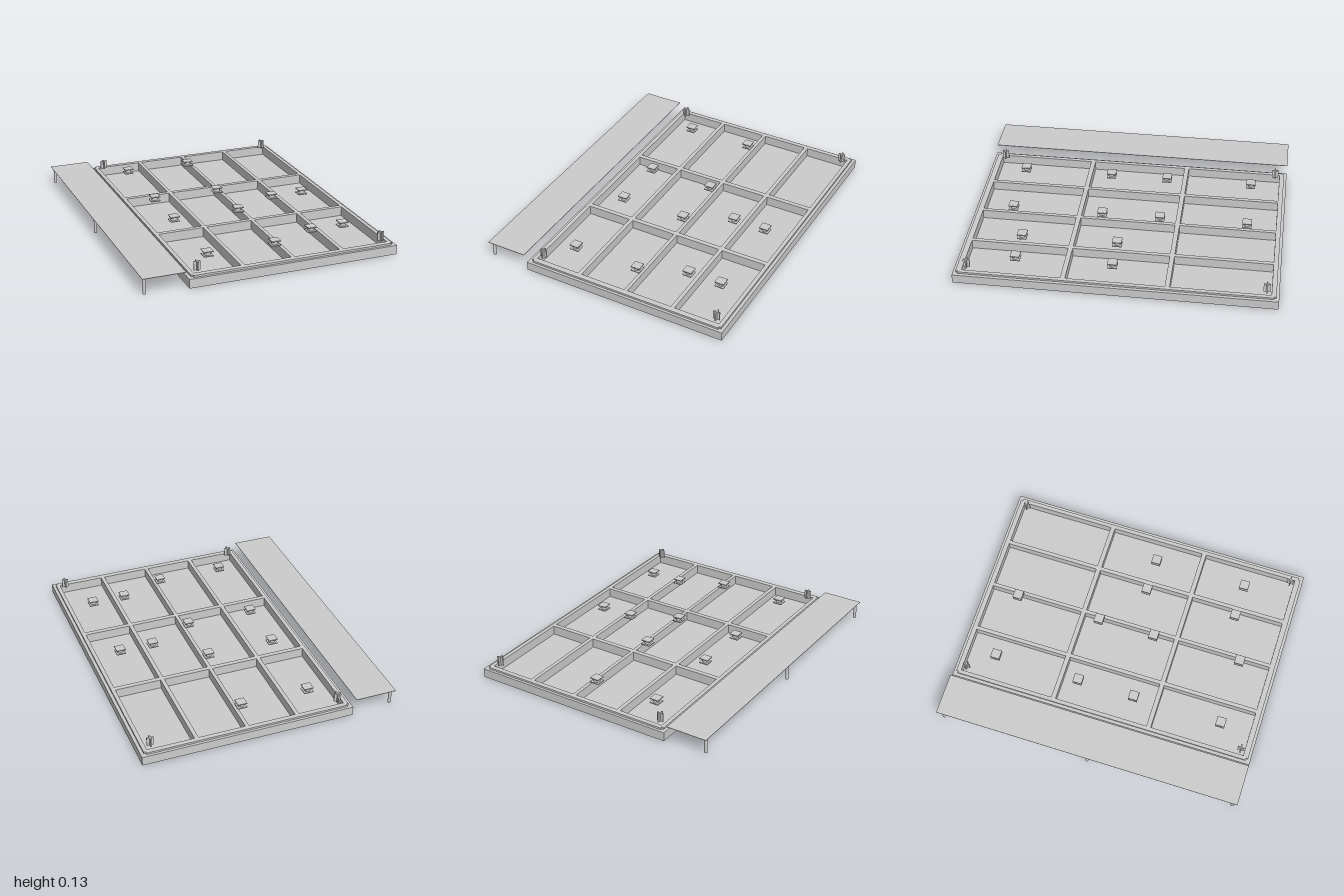
import * as THREE from 'three';

const material = new THREE.MeshStandardMaterial({ color: 0xcccccc, flatShading: true, side: THREE.DoubleSide });

// Cell edges of the ribbed tray
const cellsX = [[-0.49, -0.195], [-0.17, 0.13], [0.153, 0.45], [0.475, 0.77]];
const cellsZ = [[-0.953, -0.338], [-0.308, 0.304], [0.334, 0.948]];
const trayX = 0.14;

function add(parent, name, geometry, x = 0, y = 0, z = 0) {
  const mesh = new THREE.Mesh(geometry, material);
  mesh.name = name;
  mesh.position.set(x, y, z);
  parent.add(mesh);
  return mesh;
}

function box(parent, name, w, h, d, x, y, z) {
  return add(parent, name, new THREE.BoxGeometry(w, h, d), x, y, z);
}

// Rectangle with square notches cut from its corners, pierced by the cells
function gridLayer(halfW, halfD, notch, height) {
  const w = halfW, d = halfD, n = notch;
  const outline = [];
  if (n > 0) {
    for (const [a, b, first] of [[1, 1, 0], [-1, 1, 1], [-1, -1, 0], [1, -1, 1]]) {
      const side = [a * w, b * (d - n)], inner = [a * (w - n), b * (d - n)], end = [a * (w - n), b * d];
      outline.push(...(first ? [end, inner, side] : [side, inner, end]));
    }
  } else {
    outline.push([w, d], [-w, d], [-w, -d], [w, -d]);
  }
  const shape = new THREE.Shape(outline.map(([x, y]) => new THREE.Vector2(x + trayX, y)));
  for (const [x0, x1] of cellsX) {
    for (const [z0, z1] of cellsZ) {
      // shape y becomes -z after the rotation
      shape.holes.push(new THREE.Path([
        new THREE.Vector2(x0, -z0), new THREE.Vector2(x1, -z0),
        new THREE.Vector2(x1, -z1), new THREE.Vector2(x0, -z1)]));
    }
  }
  return new THREE.ExtrudeGeometry(shape, { depth: height, bevelEnabled: false }).rotateX(-Math.PI / 2);
}

export function createModel() {
  const model = new THREE.Group();
  model.name = 'ribbedTrayWithShelf';

  // Tray: floor, stepped rim and ribs
  const tray = new THREE.Group();
  tray.name = 'tray';
  model.add(tray);
  box(tray, 'trayFloor', 1.35, 0.01, 2, trayX, 0.005, 0);
  add(tray, 'trayBody', gridLayer(0.675, 1, 0, 0.048), 0, 0.01, 0);
  add(tray, 'raisedFrame', gridLayer(0.655, 0.983, 0.013, 0.012), 0, 0.058, 0);

  // Square-ended spools hovering over the cells
  const spools = [];
  for (const x of [-0.33, 0.108]) for (const z of [-0.767, -0.206, 0.169, 0.752]) spools.push([x, z]);
  for (const x of [0.404, 0.623]) for (const z of [0.031, 0.638]) spools.push([x, z]);
  for (const [x, z] of spools) {
    const spool = new THREE.Group();
    spool.name = 'spool';
    spool.position.set(x, 0, z);
    model.add(spool);
    box(spool, 'spoolBottomPlate', 0.06, 0.006, 0.06, 0, 0.079, 0);
    box(spool, 'spoolTopPlate', 0.06, 0.006, 0.06, 0, 0.107, 0);
    add(spool, 'spoolStem', new THREE.CylinderGeometry(0.021, 0.021, 0.022, 16), 0, 0.093, 0);
  }

  // Cross-shaped corner posts
  for (const x of [-0.46, 0.74]) {
    for (const z of [-0.923, 0.921]) {
      const post = new THREE.Group();
      post.name = 'cornerPost';
      post.position.set(x, 0.102, z);
      model.add(post);
      box(post, 'postBladeX', 0.042, 0.056, 0.008, 0, 0, 0);
      for (const s of [-1, 1]) box(post, 'postBladeZ', 0.008, 0.056, 0.017, 0, 0, s * 0.0125);
    }
  }

  // Side shelf on three legs
  const shelf = new THREE.Group();
  shelf.name = 'sideShelf';
  model.add(shelf);
  box(shelf, 'shelfPlate', 0.265, 0.003, 2, -0.6875, 0.106, 0);
  for (const z of [-0.965, 0.005, 0.968]) {
    add(shelf, 'shelfLeg', new THREE.CylinderGeometry(0.01, 0.01, 0.105, 12), -0.8, 0.0525, z);
  }
  return model;
}
